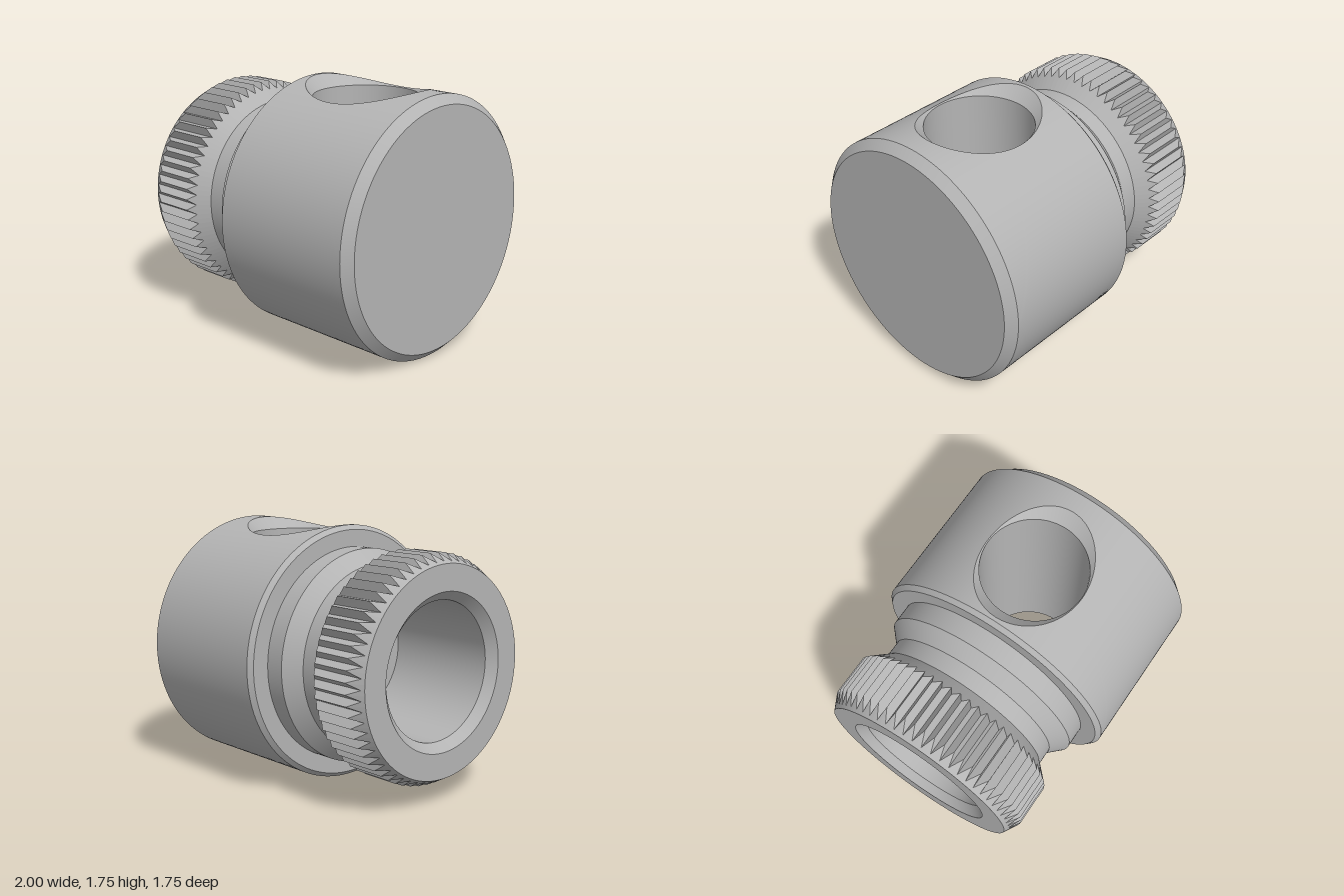
import * as THREE from 'three';
import { mergeGeometries, toCreasedNormals } from 'three/addons/utils/BufferGeometryUtils.js';

const R = 0.875;                    // body radius, also the height of the main axis
const BODY = [-0.10, 0.94];         // straight part of the body along x
const HOLE = { x: 0.365, r: 0.355, sink: 0.79 };
const SEGMENTS = 128, TEETH = 64;

// Surface through rows of [x, y, z] points, left non-indexed for flat normals
function loft(rows) {
  const pos = [];
  for (let j = 0; j < rows.length - 1; j++) {
    for (let i = 0; i < rows[j].length - 1; i++) {
      const a = rows[j][i], b = rows[j][i + 1], c = rows[j + 1][i + 1], d = rows[j + 1][i];
      pos.push(...a, ...b, ...c, ...a, ...c, ...d);
    }
  }
  const g = new THREE.BufferGeometry();
  g.setAttribute('position', new THREE.Float32BufferAttribute(pos, 3));
  g.computeVertexNormals();
  return g;
}

// Turned part around the x axis from [x, radius] points
function turned(profile) {
  const g = new THREE.LatheGeometry(profile.map(([x, r]) => new THREE.Vector2(r, x)), SEGMENTS);
  g.rotateZ(-Math.PI / 2);
  return toCreasedNormals(g, 0.4);
}

// Half of the body wall, with half of the countersunk cross hole
function halfBody() {
  const [x0, x1] = BODY, H = Math.PI / 2, nx = 40, na = SEGMENTS / 2, steps = 24;
  const edge = [];                  // outline of the unrolled half: [x, angle]
  for (let i = 0; i < na; i++) edge.push([x1, -H + (2 * H * i) / na]);
  for (let i = 0; i < nx; i++) edge.push([x1 + ((x0 - x1) * i) / nx, H]);
  for (let i = 0; i < na; i++) edge.push([x0, H - (2 * H * i) / na]);
  for (let i = 0; i < nx; i++) edge.push([x0 + ((x1 - x0) * i) / nx, -H]);
  edge.push(edge[0]);

  return loft(edge.map(([ex, ea]) => {
    const t = Math.atan2(ea * R, ex - HOLE.x), c = Math.cos(t), s = Math.sin(t);
    // where the 45 degree countersink meets the round wall
    let r = HOLE.r;
    for (let k = 0; k < 40; k++) r = HOLE.r + Math.sqrt(R * R - (r * s) ** 2) - HOLE.sink;
    const rx = HOLE.x + r * c, ra = Math.asin((r * s) / R);
    const row = [0, HOLE.sink].map((y) => [HOLE.x + HOLE.r * c, y, -HOLE.r * s]);
    for (let i = 0; i <= steps; i++) {
      const f = i / steps, a = ra + (ea - ra) * f;
      row.push([rx + (ex - rx) * f, R * Math.cos(a), -R * Math.sin(a)]);
    }
    return row;
  }));
}

// Knurled ring: sharp crests alternate with V-groove roots
function knurl() {
  const crest = [[-1, 0.695], [-0.89, 0.755], [-0.61, 0.755], [-0.49, 0.635]];
  const root = [[-1, 0.695], [-0.98, 0.706], [-0.56, 0.705], [-0.49, 0.635]];
  const rows = [];
  for (let j = 0; j <= TEETH * 2; j++) {
    const a = (j * Math.PI) / TEETH;
    rows.push((j % 2 ? crest : root).map(([x, r]) => [x, r * Math.cos(a), -r * Math.sin(a)]));
  }
  return loft(rows);
}

export function createModel() {
  const metal = new THREE.MeshStandardMaterial({ color: 0xb4b4b4 });
  metal.name = 'plain grey metal';
  const model = new THREE.Group();
  model.name = 'knurledCrossHoleFitting';
  const add = (name, geometry) => {
    const mesh = new THREE.Mesh(geometry, metal);
    mesh.name = name;
    mesh.position.y = R;
    model.add(mesh);
  };

  // Body wall with the cross hole, mirrored by a half turn
  const upper = halfBody();
  const lower = upper.clone().rotateX(Math.PI);
  add('bodyWithCrossHole', toCreasedNormals(mergeGeometries([upper, lower]), 0.4));

  // Chamfered ends of the body
  add('bodyEndCap', turned([[0.94, R], [1, 0.815], [1, 0]]));
  add('bodyShoulder', turned([[-0.13, 0.72], [-0.13, 0.845], [-0.10, R]]));

  // Neck and collar between the body and the knurl
  add('neckAndCollar', turned([[-0.49, 0.635], [-0.37, 0.635], [-0.27, 0.73], [-0.13, 0.73]]));

  // Knurled grip, its open end face and the blind bore
  add('knurledGrip', knurl());
  add('endFaceAndBore', turned([[-0.13, 0], [-0.13, 0.46], [-0.94, 0.46], [-1, 0.52], [-1, 0.695]]));

  return model;
}
